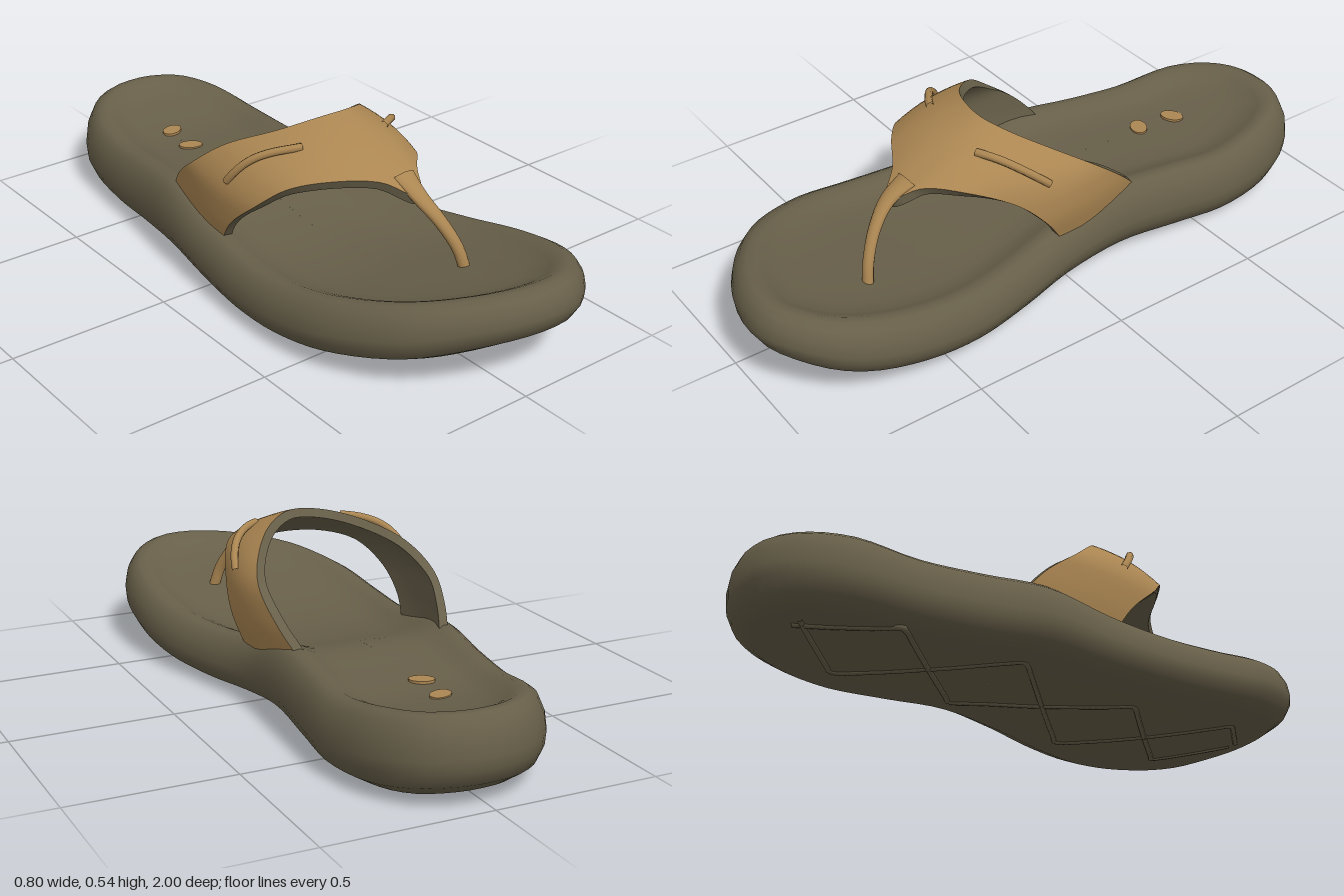
import * as THREE from 'three';
import { toCreasedNormals } from 'three/addons/utils/BufferGeometryUtils.js';

const V = (x, y, z) => new THREE.Vector3(x, y, z);
const lerp = THREE.MathUtils.lerp;

// Skin rows of points; outward side is (along row) x (row to row)
function loft(rows, closed = false) {
  const n = rows[0].length, index = [];
  const cols = closed ? n : n - 1;
  for (let i = 0; i < rows.length - 1; i++) {
    for (let j = 0; j < cols; j++) {
      const k = (j + 1) % n;
      const a = i * n + j, b = a + n, c = (i + 1) * n + k, d = i * n + k;
      index.push(a, c, b, a, d, c);
    }
  }
  const g = new THREE.BufferGeometry().setFromPoints(rows.flat());
  g.setIndex(index);
  g.computeVertexNormals();
  return g;
}

// Sole heights at even steps from heel (z = -1) to toe (z = 1)
const heightCurve = (ys) => {
  const c = new THREE.SplineCurve(ys.map((y, i) => new THREE.Vector2(i, y)));
  return (z) => c.getPoint(THREE.MathUtils.clamp((z + 1) / 2, 0, 1)).y;
};
const topY = heightCurve([0.265, 0.245, 0.22, 0.23, 0.24, 0.2, 0.18, 0.19, 0.225, 0.265, 0.3]);
const bottomY = heightCurve([0.045, 0.018, 0.008, 0.016, 0.03, 0.014, 0.008, 0.02, 0.05, 0.09, 0.15]);
const DISH = 0.035;

// Foot outline [x, z]: toe, left side, heel, right side
const outline = new THREE.CatmullRomCurve3([
  [0.12, 1], [0.2, 0.985], [0.31, 0.9], [0.375, 0.78], [0.4, 0.6], [0.38, 0.4], [0.33, 0.2],
  [0.282, 0], [0.278, -0.2], [0.29, -0.4], [0.305, -0.6], [0.275, -0.8], [0.2, -0.93], [0.09, -0.99],
  [0, -1], [-0.09, -0.985], [-0.19, -0.92], [-0.27, -0.8], [-0.305, -0.6], [-0.325, -0.4],
  [-0.355, -0.2], [-0.376, 0], [-0.395, 0.2], [-0.398, 0.4], [-0.37, 0.6], [-0.27, 0.8], [-0.13, 0.92], [0.01, 0.985],
].map(([x, z]) => V(x, 0, z)), true);

function soleGeometry() {
  const N = 96;
  // [inset from the outline, pull toward the spine, height fraction, extra height]
  const rings = [
    [0.13, 1, 0, 0], [0.13, 0.6, 0, 0], [0.13, 0.2, 0, 0], [0.07, 0, 0, 0], [0.022, 0, 0.13, 0],
    [0.003, 0, 0.32, 0], [0, 0, 0.48, 0], [0.007, 0, 0.7, 0], [0.026, 0, 0.9, 0], [0.05, 0, 0.985, 0],
    [0.075, 0, 1, 0], [0.1, 0, 1, -0.01], [0.13, 0, 1, -0.024],
    [0.13, 0.18, 1, -0.032], [0.13, 0.45, 1, -DISH], [0.13, 0.75, 1, -DISH], [0.13, 1, 1, -DISH],
  ];
  const rows = rings.map(([inset, pull, v, dy]) => {
    const row = [];
    for (let j = 0; j < N; j++) {
      const p = outline.getPointAt(j / N), t = outline.getTangentAt(j / N);
      const x = p.x + t.z * inset, z = p.z - t.x * inset;
      const sz = z * 0.72, sx = -0.03 + 0.07 * sz * Math.abs(sz) * 1.5 + 0.05 * sz * sz;
      const px = lerp(x, sx, pull), pz = lerp(z, sz, pull);
      row.push(V(px, lerp(bottomY(pz), topY(pz), v) + dy, pz));
    }
    return row;
  });
  return loft(rows, true);
}

// Strap edges from right foot-bed anchor to left: rear edge and front edge
const rear = new THREE.CatmullRomCurve3([
  V(-0.27, 0.19, -0.28), V(-0.3, 0.29, -0.2), V(-0.315, 0.37, -0.1), V(-0.265, 0.45, 0), V(-0.16, 0.505, 0.11),
  V(-0.05, 0.533, 0.16), V(0.04, 0.537, 0.17), V(0.12, 0.515, 0.13), V(0.2, 0.465, 0.04),
  V(0.258, 0.39, -0.08), V(0.25, 0.3, -0.19), V(0.21, 0.2, -0.29)]);
const front = new THREE.CatmullRomCurve3([
  V(-0.315, 0.16, 0.04), V(-0.325, 0.25, 0.1), V(-0.31, 0.34, 0.2), V(-0.25, 0.41, 0.28), V(-0.15, 0.435, 0.36),
  V(-0.035, 0.425, 0.43), V(0.045, 0.385, 0.505), V(0.105, 0.425, 0.42), V(0.19, 0.415, 0.32),
  V(0.25, 0.35, 0.19), V(0.27, 0.26, 0.1), V(0.25, 0.16, 0.03)]);

// Point on the strap: t along the arch, s from rear to front, lift off the surface
function strapPoint(t, s, lift) {
  const mid = (u) => rear.getPoint(u).lerp(front.getPoint(u), s);
  const along = mid(Math.min(1, t + 0.02)).sub(mid(Math.max(0, t - 0.02)));
  const across = front.getPoint(t).sub(rear.getPoint(t));
  const normal = across.cross(along).normalize();
  return mid(t).addScaledVector(normal, lift + 0.014 * 4 * s * (1 - s));
}

export function createModel() {
  const model = new THREE.Group();
  const sole = new THREE.MeshStandardMaterial({ color: 0x675f49 });
  sole.name = 'olive rubber';
  const tan = new THREE.MeshStandardMaterial({ color: 0xab8652 });
  tan.name = 'tan leather';
  const add = (name, geometry, material) => {
    const m = new THREE.Mesh(geometry, material);
    m.name = name;
    model.add(m);
    return m;
  };

  add('sole', soleGeometry(), sole);

  // Crossing tread ribs under the sole
  for (const side of [-1, 1]) {
    const pts = [];
    for (let i = 0; i <= 60; i++) {
      const z = lerp(-0.86, 0.82, i / 60);
      const zig = Math.asin(Math.sin(z * 7.5)) / (Math.PI / 2);
      pts.push(V(-0.02 + 0.05 * z + side * zig * 0.19, bottomY(z) + 0.003, z));
    }
    add('treadRib', new THREE.TubeGeometry(new THREE.CatmullRomCurve3(pts), 120, 0.01, 5), sole);
  }

  // Strap: leather face, then edges and lining
  const T = 60, S = 8, faceRows = [], liningRows = [];
  for (let i = 0; i <= T; i++) {
    const t = i / T, face = [], lining = [strapPoint(t, 1, 0)];
    for (let j = 0; j <= S; j++) {
      face.push(strapPoint(t, j / S, 0));
      lining.push(strapPoint(t, 1 - j / S, -0.028));
    }
    lining.push(strapPoint(t, 0, 0));
    faceRows.push(face);
    liningRows.push(lining);
  }
  add('strapFace', loft(faceRows), tan);
  add('strapLining', toCreasedNormals(loft(liningRows), 0.8), sole);

  // Raised seam on each side of the strap
  for (const [t0, t1] of [[0.2, 0.37], [0.8, 0.64]]) {
    const pts = [];
    for (let i = 0; i <= 8; i++) {
      const u = i / 8;
      pts.push(strapPoint(lerp(t0, t1, u), lerp(0.52, 0.4, u), 0.016 * Math.sin(Math.PI * u)));
    }
    add('strapSeam', new THREE.TubeGeometry(new THREE.CatmullRomCurve3(pts), 20, 0.012, 8), tan);
  }

  // Toe post, flaring into the strap
  const post = new THREE.CatmullRomCurve3([
    V(0.043, 0.425, 0.43), V(0.045, 0.385, 0.5), V(0.07, 0.325, 0.562), V(0.1, 0.25, 0.605), V(0.118, 0.18, 0.622)]);
  const rows = [];
  for (let i = 0; i <= 20; i++) {
    const u = i / 20, p = post.getPoint(u), d = post.getTangent(u);
    const side = V(1, 0, 0).addScaledVector(d, -d.x).normalize(), up = side.clone().cross(d);
    const w = 0.018 + 0.022 * Math.pow(1 - u, 3), h = 0.016;
    const row = [];
    for (let j = 0; j < 12; j++) {
      const a = (j / 12) * Math.PI * 2;
      row.push(p.clone().addScaledVector(side, Math.cos(a) * w).addScaledVector(up, -Math.sin(a) * h));
    }
    rows.push(row);
  }
  // Row direction runs side -> -up, where side x up = -d
  add('toePost', loft(rows.map((r) => r.slice().reverse()).map((r) => r.reverse()), true), tan);

  // Two small oval marks on the heel bed
  for (const [x, z, turn] of [[-0.037, -0.64, 0.5], [-0.05, -0.51, -0.5]]) {
    const mark = add('heelMark', new THREE.CylinderGeometry(1, 1, 0.008, 20), tan);
    mark.scale.set(0.038, 1, 0.027);
    mark.rotation.y = turn;
    mark.position.set(x, topY(z) - DISH + 0.003, z);
  }
  return model;
}
